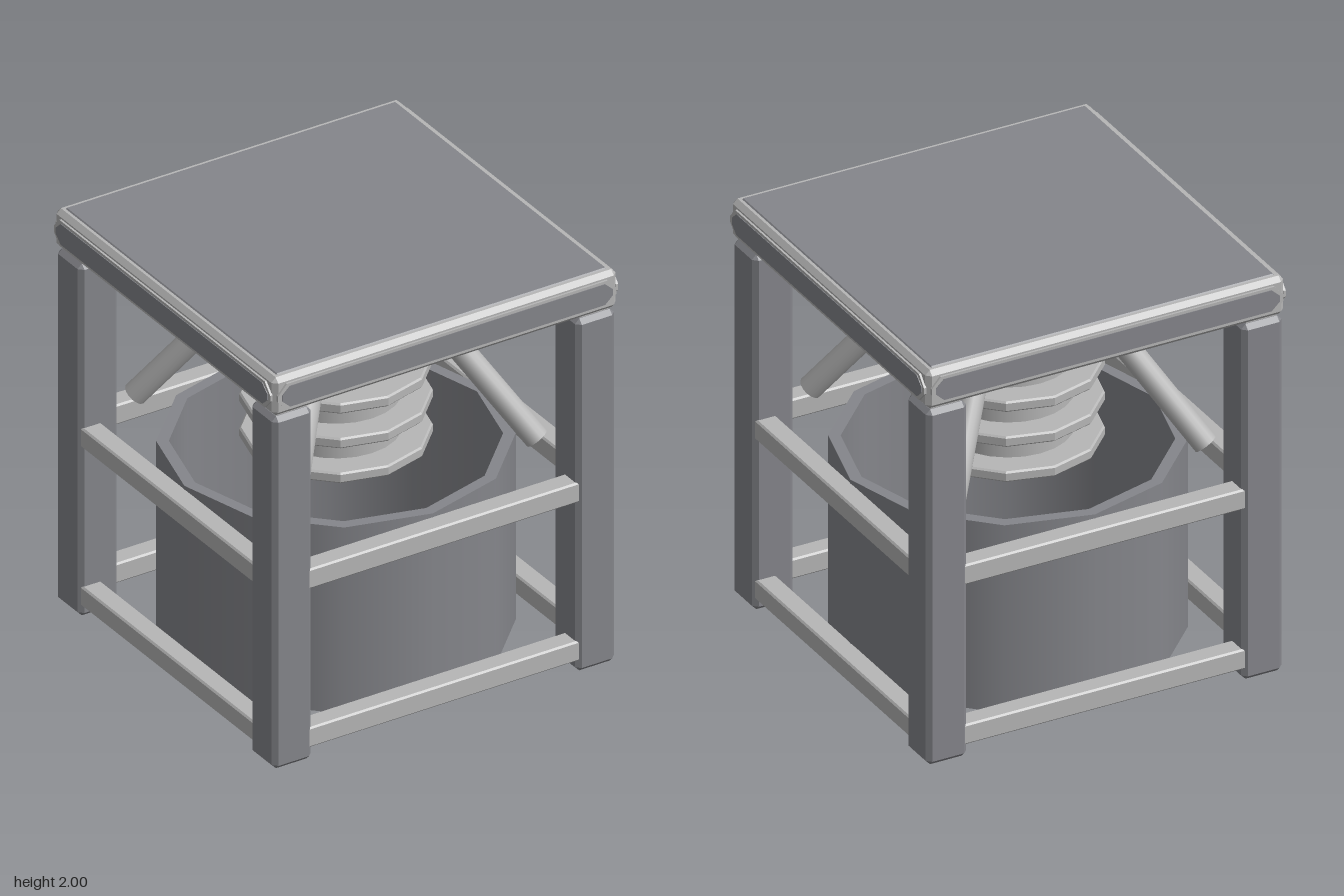
import * as THREE from 'three';
import { ConvexGeometry } from 'three/addons/geometries/ConvexGeometry.js';

// Box with evenly cut edges and corners
function chamferBox(w, h, d, c) {
  const points = [];
  for (const sx of [-1, 1]) for (const sy of [-1, 1]) for (const sz of [-1, 1]) {
    const x = sx * w / 2, y = sy * h / 2, z = sz * d / 2;
    points.push(
      new THREE.Vector3(x, y - sy * c, z - sz * c),
      new THREE.Vector3(x - sx * c, y, z - sz * c),
      new THREE.Vector3(x - sx * c, y - sy * c, z));
  }
  return new ConvexGeometry(points);
}

// Long strip with pointed, blunted ends
function stripShape(w, h, cut) {
  const x = w / 2, y = h / 2, t = 0.015;
  return new THREE.Shape([
    [-x, -t], [-x + cut, -y], [x - cut, -y], [x, -t],
    [x, t], [x - cut, y], [-x + cut, y], [-x, t],
  ].map(([a, b]) => new THREE.Vector2(a, b)));
}

export function createModel() {
  const model = new THREE.Group();
  model.name = 'framedMachine';
  const dark = new THREE.MeshStandardMaterial({ color: 0x85868b, side: THREE.DoubleSide });
  dark.name = 'dark grey';
  const light = new THREE.MeshStandardMaterial({ color: 0xb6b6b6 });
  light.name = 'light grey';

  function add(name, geometry, material, x = 0, y = 0, z = 0, parent = model) {
    const mesh = new THREE.Mesh(geometry, material);
    mesh.name = name;
    mesh.position.set(x, y, z);
    parent.add(mesh);
    return mesh;
  }

  // Top slab with dark cover plates
  add('slabFrame', chamferBox(1.77, 0.19, 1.77, 0.022), light, 0, 1.9, 0);
  add('slabTop', chamferBox(1.7, 0.02, 1.7, 0.006), dark, 0, 1.99, 0);
  add('slabBottom', chamferBox(1.7, 0.02, 1.7, 0.006), dark, 0, 1.81, 0);

  // The four sides repeat: slab panel and two rails
  for (let i = 0; i < 4; i++) {
    const side = new THREE.Group();
    side.name = 'side';
    side.rotation.y = i * Math.PI / 2;
    model.add(side);
    const rim = new THREE.ExtrudeGeometry(stripShape(1.74, 0.13, 0.045), { depth: 0.012, bevelEnabled: false });
    add('panelRim', rim, light, 0, 1.9, 0.883, side);
    const panel = new THREE.ExtrudeGeometry(stripShape(1.7, 0.104, 0.04), { depth: 0.003, bevelEnabled: false });
    add('sidePanel', panel, dark, 0, 1.9, 0.895, side);
    add('upperRail', chamferBox(1.4, 0.1, 0.1, 0.008), light, 0, 0.93, 0.82, side);
    add('lowerRail', chamferBox(1.4, 0.1, 0.1, 0.008), light, 0, 0.135, 0.82, side);
  }

  // Legs, feet and diagonal struts at each corner
  for (const sx of [-1, 1]) for (const sz of [-1, 1]) {
    const x = 0.78 * sx, z = 0.78 * sz;
    add('leg', chamferBox(0.2, 1.765, 0.2, 0.022), dark, x, 0.9125, z);
    add('legCap', new THREE.BoxGeometry(0.15, 0.03, 0.15), light, x, 1.8, z);
    add('foot', chamferBox(0.08, 0.045, 0.08, 0.008), light, x, 0.0225, z);
    add('footInset', new THREE.BoxGeometry(0.035, 0.004, 0.035), dark, x, 0.001, z);

    const low = new THREE.Vector3(0.63 * sx, 1.106, 0.63 * sz);
    const high = new THREE.Vector3(0.305 * sx, 1.655, 0.305 * sz);
    const axis = high.clone().sub(low);
    const strut = add('strut', new THREE.CylinderGeometry(0.056, 0.056, axis.length(), 16), light);
    strut.position.copy(low).add(high).multiplyScalar(0.5);
    strut.quaternion.setFromUnitVectors(new THREE.Vector3(0, 1, 0), axis.normalize());
  }

  // Open drum: outer wall, inner wall and two rims
  const outer = 0.78, inner = 0.725, bottom = 0.065, top = 1.0, sides = 12;
  for (const [name, r] of [['drumOuterWall', outer], ['drumInnerWall', inner]]) {
    add(name, new THREE.CylinderGeometry(r, r, top - bottom, sides, 1, true), dark, 0, (top + bottom) / 2, 0);
  }
  for (const [name, y, turn] of [['drumTopRim', top, -1], ['drumBottomRim', bottom, 1]]) {
    const rim = add(name, new THREE.RingGeometry(inner, outer, sides), dark, 0, y, 0);
    rim.rotation.x = turn * Math.PI / 2;
  }

  // Grille slats across the drum floor
  for (let i = -2; i <= 2; i++) {
    const z = i * 0.27;
    const reach = Math.sqrt(0.71 ** 2 - (Math.abs(z) + 0.09) ** 2);
    add('grilleSlat', new THREE.BoxGeometry(2 * reach, 0.04, 0.19), dark, 0, 0.11, z);
  }

  // Central column with its stacked collars
  add('column', new THREE.CylinderGeometry(0.29, 0.29, 0.83, 24), light, 0, 1.395, 0);
  for (let i = 0; i < 4; i++) {
    const profile = [[0.28, -0.026], [0.412, -0.026], [0.42, -0.018], [0.42, 0.018], [0.412, 0.026], [0.28, 0.026]];
    const collar = new THREE.LatheGeometry(profile.map(([r, y]) => new THREE.Vector2(r, y)), 12).toNonIndexed();
    collar.computeVertexNormals();
    add('collar', collar, light, 0, 1.035 + i * 0.174, 0);
  }

  return model;
}
